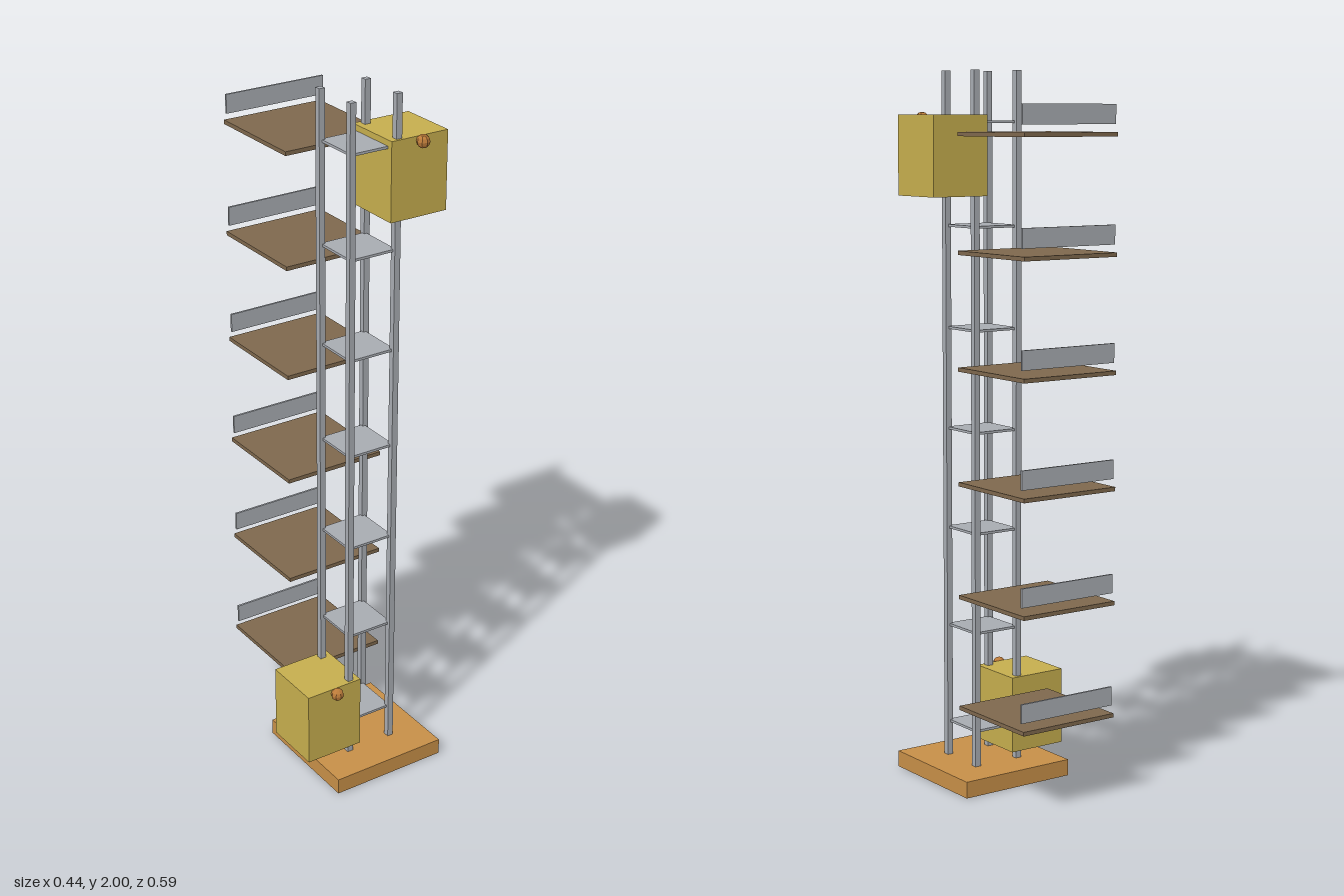
import * as THREE from 'three';

const material = (name, color) => {
  const m = new THREE.MeshStandardMaterial({ color });
  m.name = name;
  return m;
};

export function createModel() {
  const model = new THREE.Group();
  model.name = 'liftTower';
  const wood = material('orange wood', 0xc78f48);
  const darkWood = material('brown wood', 0x7e684d);
  const steel = material('grey steel', 0xa8acb2);
  const brass = material('yellow brass', 0xc6ae4e);
  const copper = material('copper', 0xbd7c3a);

  function box(name, mat, [w, h, d], [x, y, z], parent = model) {
    const mesh = new THREE.Mesh(new THREE.BoxGeometry(w, h, d), mat);
    mesh.name = name;
    mesh.position.set(x, y, z);
    parent.add(mesh);
    return mesh;
  }

  const shaftZ = 0.117;
  const half = 0.0705;

  // Base slab
  box('base', wood, [0.353, 0.047, 0.353], [0, 0.0235, shaftZ]);

  // Four square posts
  for (const sx of [-1, 1]) {
    for (const sz of [-1, 1]) {
      box('post', steel, [0.0177, 1.999, 0.0177], [sx * half, 1.0005, shaftZ + sz * half]);
    }
  }

  // Thin plates tying the posts together
  for (let i = 0; i < 7; i++) {
    box('bracePlate', steel, [2 * half, 0.007, 2 * half], [0, 0.147 + i * 0.2855, shaftZ]);
  }

  // Landings behind the shaft, each with a raised rail
  for (let i = 0; i < 6; i++) {
    const y = 0.24 + i * 0.3177;
    box('landing', darkWood, [0.306, 0.0115, 0.306], [0, y, -0.143]);
    box('landingRail', steel, [0.306, 0.053, 0.006], [0, y + 0.053, -0.284]);
  }

  // Two cabins, one low on the right and one high on the left, each with a knob
  for (const [x, y] of [[-0.13, 0.18], [0.13, 1.77]]) {
    const cabin = new THREE.Group();
    cabin.name = 'cabin';
    cabin.position.set(x, y, shaftZ - 0.001);
    box('cabinBody', brass, [0.176, 0.22, 0.176], [0, 0, 0], cabin);
    const knobMat = copper;
    knobMat.flatShading = true;
    const knob = new THREE.Mesh(new THREE.SphereGeometry(0.0185, 8, 6), knobMat);
    knob.name = 'cabinKnob';
    knob.position.set(0, 0.099, 0.102);
    cabin.add(knob);
    model.add(cabin);
  }

  return model;
}
